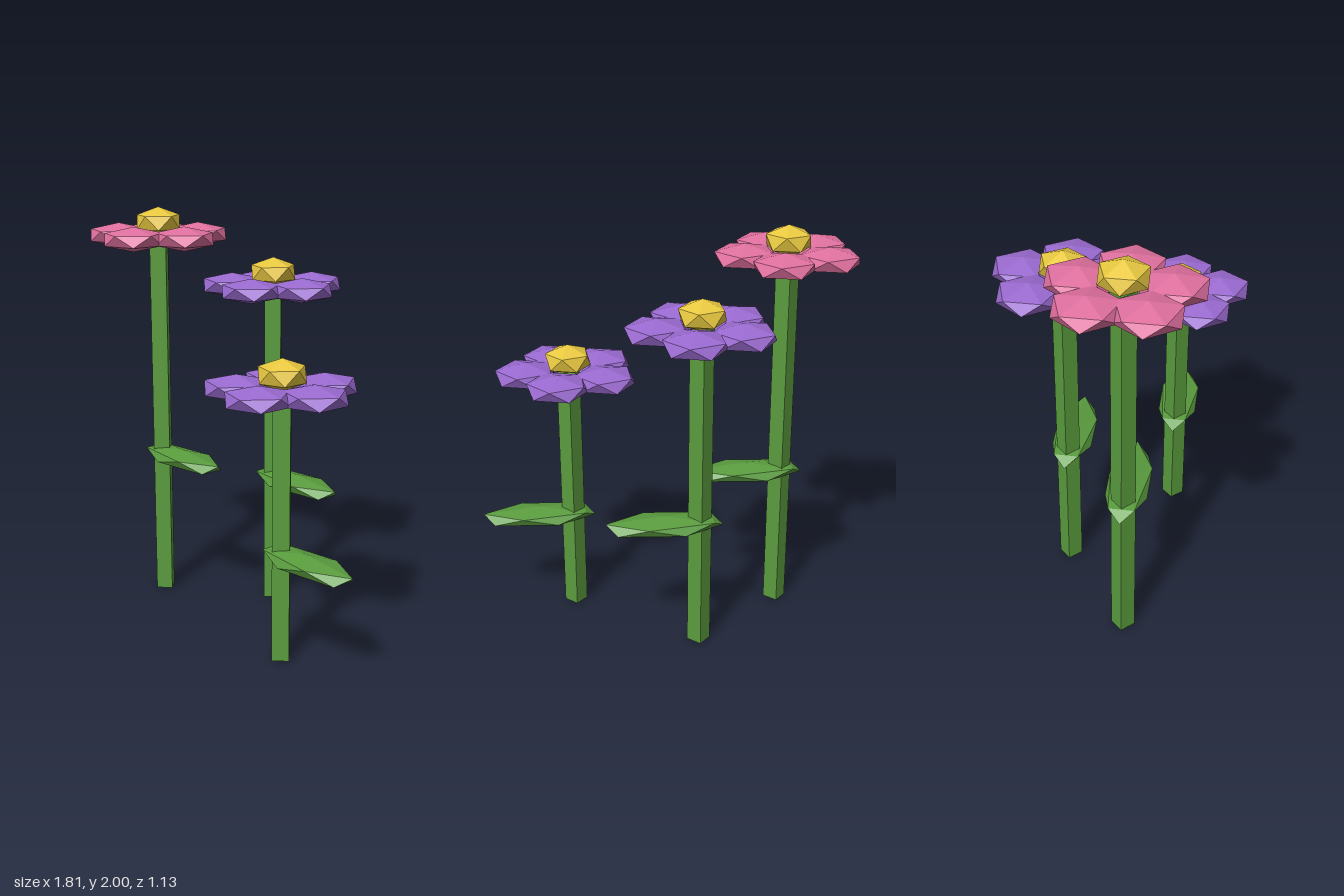
import * as THREE from 'three';

const material = (color) => new THREE.MeshStandardMaterial({ color, flatShading: true });

// Low-poly ball: icosahedron standing on a vertex, upper ring pointing to +x
function ballGeometry() {
  const golden = (1 + Math.sqrt(5)) / 2;
  return new THREE.IcosahedronGeometry(1, 0)
    .rotateX(-Math.atan(golden))
    .rotateY(Math.PI / 2);
}

export function createModel() {
  const model = new THREE.Group();
  model.name = 'flowers';

  const ball = ballGeometry();
  const green = material(0x5a9c3e);
  const yellow = material(0xe8c840);
  const pink = material(0xe0709f);
  const purple = material(0x9a6ad0);

  function addBall(parent, name, mat, position, scale) {
    const mesh = new THREE.Mesh(ball, mat);
    mesh.name = name;
    mesh.position.set(...position);
    mesh.scale.set(...scale);
    parent.add(mesh);
  }

  function addFlower(name, x, z, bloomY, leafY, petalMaterial) {
    const flower = new THREE.Group();
    flower.name = name;
    flower.position.set(x, 0, z);

    // Square stem, corner to the front
    const stem = new THREE.Mesh(new THREE.CylinderGeometry(0.057, 0.057, bloomY, 4), green);
    stem.name = 'stem';
    stem.position.y = bloomY / 2;
    flower.add(stem);

    // One long flat leaf on the +x side
    addBall(flower, 'leaf', green, [0.17, leafY, 0], [0.318, 0.045, 0.115]);

    // Five flat petals around the centre
    for (let i = 0; i < 5; i++) {
      const a = (i * Math.PI * 2) / 5;
      addBall(flower, 'petal', petalMaterial,
        [0.207 * Math.cos(a), bloomY, 0.207 * Math.sin(a)], [0.163, 0.06, 0.163]);
    }
    addBall(flower, 'flowerCentre', yellow, [0, bloomY + 0.068, 0], [0.123, 0.074, 0.123]);

    model.add(flower);
  }

  addFlower('tallPinkFlower', -0.595, 0.117, 1.858, 0.745, pink);
  addFlower('middlePurpleFlower', -0.13, -0.23, 1.626, 0.655, purple);
  addFlower('shortPurpleFlower', 0.448, 0.233, 1.279, 0.513, purple);

  return model;
}
